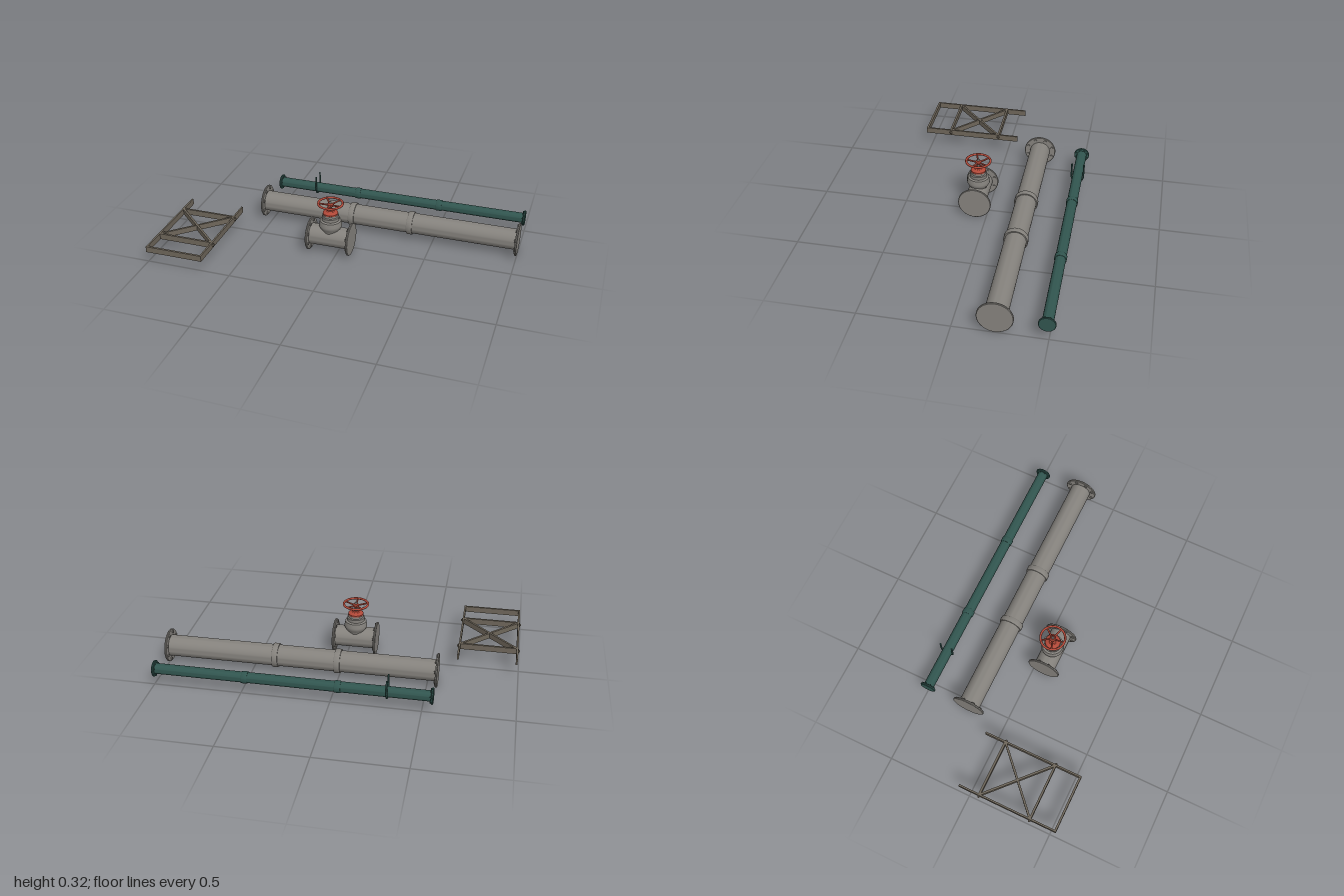
import * as THREE from 'three';
import { toCreasedNormals } from 'three/addons/utils/BufferGeometryUtils.js';

const Y = 0.097; // height of every pipe axis

export function createModel() {
  const material = (name, color) => {
    const m = new THREE.MeshStandardMaterial({ color });
    m.name = name;
    return m;
  };
  const grey = material('pipe grey', 0x85827d);
  const teal = material('teal paint', 0x31554f);
  const red = material('valve red', 0xb04838);
  const steel = material('frame steel', 0x6e665a);

  const model = new THREE.Group();
  model.name = 'pipeworkSet';

  const group = (name, x, y, z) => {
    const g = new THREE.Group();
    g.name = name;
    g.position.set(x, y, z);
    model.add(g);
    return g;
  };
  const add = (parent, name, geometry, mat, x = 0, y = 0, z = 0) => {
    const m = new THREE.Mesh(geometry, mat);
    m.name = name;
    m.position.set(x, y, z);
    parent.add(m);
    return m;
  };
  // profile is a list of [radius, height], bottom to top
  const turned = (profile) => toCreasedNormals(
    new THREE.LatheGeometry(profile.map(([r, h]) => new THREE.Vector2(r, h)), 40), 0.6);
  const turnedX = (profile) => turned(profile).rotateZ(-Math.PI / 2);
  // straight rod between two points
  const rod = (parent, name, a, b, r, mat) => {
    const p = new THREE.Vector3(...a), q = new THREE.Vector3(...b);
    const m = add(parent, name, new THREE.CylinderGeometry(r, r, p.distanceTo(q), 8), mat);
    m.position.copy(p).add(q).multiplyScalar(0.5);
    m.quaternion.setFromUnitVectors(new THREE.Vector3(0, 1, 0), q.sub(p).normalize());
  };

  // flange disc with a ring of bolts on its inner face; side is the outward x direction
  const flange = (parent, x, side, r, mat) => {
    const t = 0.012, b = 0.003;
    add(parent, 'flange', turnedX([
      [0, -t / 2], [r - b, -t / 2], [r, -t / 2 + b], [r, t / 2 - b], [r - b, t / 2], [0, t / 2],
    ]), mat, x - side * t / 2);
    for (let i = 0; i < 8; i++) {
      const a = (i + 0.5) * Math.PI / 4;
      const bolt = new THREE.CylinderGeometry(r * 0.09, r * 0.09, 0.006, 6).rotateZ(Math.PI / 2);
      add(parent, 'flangeBolt', bolt, mat, x - side * (t + 0.003), Math.cos(a) * r * 0.82, Math.sin(a) * r * 0.82);
    }
  };
  // flanged pipe with raised joint bands
  const pipe = (g, x0, x1, r, rf, mat, bands, bandR) => {
    add(g, 'pipe', turnedX([[r, x0 + 0.006], [r, x1 - 0.006]]), mat);
    flange(g, x0, -1, rf, mat);
    flange(g, x1, 1, rf, mat);
    for (const x of bands) {
      add(g, 'jointBand', turnedX([
        [r - 0.001, -0.017], [bandR - 0.002, -0.017], [bandR, -0.014],
        [bandR, 0.014], [bandR - 0.002, 0.017], [r - 0.001, 0.017],
      ]), mat, x);
    }
  };

  // Large and small straight pipes
  const largePipe = group('largePipe', 0, Y, -0.225);
  pipe(largePipe, -0.56, 1, 0.061, 0.096, grey, [0.005, 0.363], 0.069);
  const smallPipe = group('smallPipe', 0, Y, -0.487);
  pipe(smallPipe, -0.56, 1, 0.03, 0.046, teal, [-0.042, 0.475], 0.034);

  // U-bolt hanger around the small pipe
  const hanger = new THREE.CurvePath();
  const hr = 0.036;
  const arc = [];
  for (let i = 0; i <= 12; i++) {
    const a = Math.PI * (1 + i / 12);
    arc.push(new THREE.Vector3(0, Math.sin(a) * hr, Math.cos(a) * hr));
  }
  hanger.add(new THREE.LineCurve3(new THREE.Vector3(0, 0.085, -hr), arc[0]));
  hanger.add(new THREE.CatmullRomCurve3(arc));
  hanger.add(new THREE.LineCurve3(arc[12], new THREE.Vector3(0, 0.085, hr)));
  add(smallPipe, 'hangerBolt', new THREE.TubeGeometry(hanger, 60, 0.005, 8), teal, -0.312);
  for (const z of [-hr, hr]) {
    add(smallPipe, 'hangerBoltEnd', new THREE.CylinderGeometry(0.005, 0.005, 0.002, 8), teal, -0.312, 0.085, z);
  }

  // Gate valve: flanged body
  const valve = group('valve', -0.044, Y, 0.067);
  pipe(valve, -0.127, 0.127, 0.061, 0.096, grey, [], 0);
  add(valve, 'bonnet', turned([
    [0.045, 0], [0.048, 0.045], [0.06, 0.062], [0.066, 0.075], [0.066, 0.084], [0.061, 0.109],
    [0.05, 0.114], [0.05, 0.132], [0.045, 0.137], [0.045, 0.15], [0, 0.15],
  ]), grey);
  add(valve, 'bonnetCap', turned([
    [0.044, 0.146], [0.044, 0.158], [0.04, 0.162], [0.024, 0.166], [0.019, 0.172], [0, 0.172],
  ]), red);
  add(valve, 'stem', turned([[0.008, 0.165], [0.008, 0.222], [0.005, 0.228], [0, 0.228]]), grey);

  // Hand wheel with sloping spokes
  add(valve, 'wheelRim', new THREE.TorusGeometry(0.07, 0.0065, 10, 48).rotateX(Math.PI / 2), red, 0, 0.216);
  add(valve, 'wheelHub', turned([
    [0, 0.196], [0.014, 0.196], [0.018, 0.201], [0.018, 0.212], [0.012, 0.219], [0, 0.219],
  ]), red);
  for (let i = 0; i < 5; i++) {
    const a = i * Math.PI * 0.4 + Math.PI / 2;
    const c = Math.cos(a), s = Math.sin(a);
    rod(valve, 'wheelSpoke', [c * 0.013, 0.207, s * 0.013], [c * 0.068, 0.216, s * 0.068], 0.005, red);
  }

  // Steel support frame
  const frame = group('supportFrame', -0.82, Y + 0.003, 0);
  const h = 0.036, t = 0.01, half = 0.17;
  for (const s of [-1, 1]) {
    add(frame, 'sideRail', new THREE.BoxGeometry(t, h, 0.595), steel, s * (half - t / 2), 0, 0.2345);
    for (const z of [0.062, 0.373]) {
      const stud = new THREE.CylinderGeometry(0.005, 0.009, 0.01, 8).rotateZ(-s * Math.PI / 2);
      add(frame, 'railBolt', stud, steel, s * (half + 0.005), 0, z);
    }
    // diagonal brace
    const brace = add(frame, 'diagonalBrace',
      new THREE.BoxGeometry(Math.hypot(0.33, 0.311), h - 0.003, 0.012), steel, 0, 0, 0.2175);
    brace.rotation.y = s * Math.atan2(0.311, 0.33);
  }
  for (const z of [0.062, 0.373, 0.526]) {
    add(frame, 'crossBar', new THREE.BoxGeometry(2 * half - t, h - 0.001, 0.012), steel, 0, 0, z);
  }
  // clamp ends where the braced cross bars pass the rails
  for (const z of [0.062, 0.373]) {
    add(frame, 'crossBarEnds', new THREE.BoxGeometry(2 * half + 0.008, 0.02, 0.012), steel, 0, 0, z);
  }

  return model;
}
